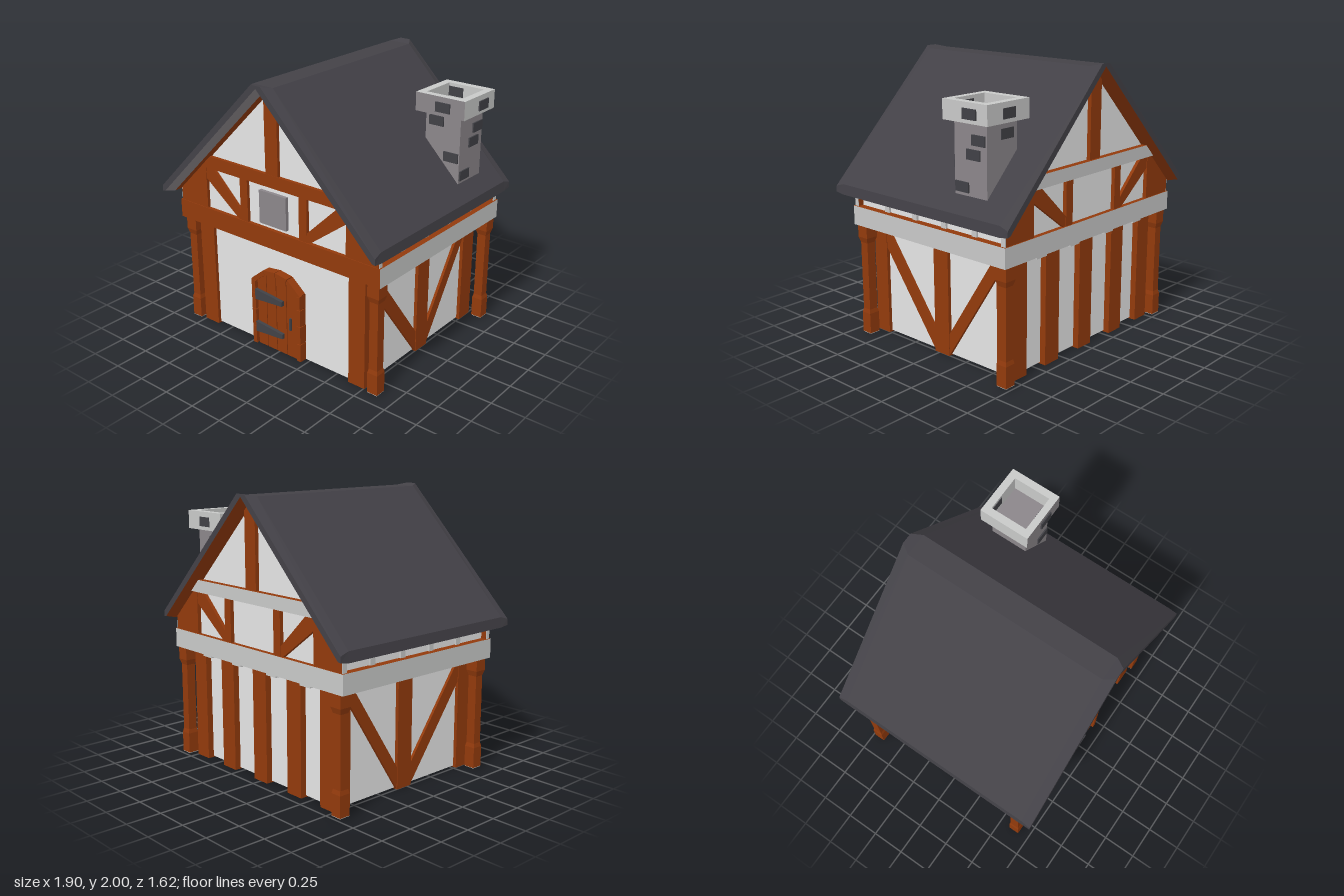
import * as THREE from 'three';

const mat = (name, color) => {
  const m = new THREE.MeshStandardMaterial({ color });
  m.name = name;
  return m;
};

export function createModel() {
  const house = new THREE.Group();
  house.name = 'house';
  const plaster = mat('plaster', 0xe5e5e5);
  const trim = mat('pale trim', 0xc8c9c8);
  const timber = mat('timber', 0x923a0c);
  const shadowWood = mat('dark wood', 0x4a1c08);
  const slate = mat('slate', 0x434147);
  const stone = mat('stone', 0x8b868a);
  const iron = mat('iron', 0x414146);
  const floorGrey = mat('floor grey', 0xb4b4b4);

  const add = (name, geo, m) => {
    const mesh = new THREE.Mesh(geo, m);
    mesh.name = name;
    house.add(mesh);
    return mesh;
  };
  // Box given by its limits
  const box = (name, m, x0, x1, y0, y1, z0, z1) => {
    const g = new THREE.BoxGeometry(x1 - x0, y1 - y0, z1 - z0);
    g.translate((x0 + x1) / 2, (y0 + y1) / 2, (z0 + z1) / 2);
    return add(name, g, m);
  };
  const extrude = (pts, depth) => new THREE.ExtrudeGeometry(
    new THREE.Shape(pts.map(p => new THREE.Vector2(...p))), { depth, bevelEnabled: false });
  // Outline in x, y drawn out along z
  const prism = (name, m, pts, z0, z1) => add(name, extrude(pts, z1 - z0).translate(0, 0, z0), m);
  // Outline in z, y drawn out along x
  const sidePrism = (name, m, pts, x0, x1) => add(name,
    extrude(pts.map(([z, y]) => [-z, y]), x1 - x0).rotateY(Math.PI / 2).translate(x0, 0, 0), m);
  const mirror = (pts, s) => pts.map(([x, y]) => [x * s, y]);

  // Lower walls and the ring beam above them
  box('lowerWalls', [plaster, plaster, plaster, floorGrey, plaster, plaster], -0.73, 0.73, 0.01, 0.83, -0.635, 0.62);
  box('ringBeam', [trim, trim, timber, timber, timber, trim], -0.9, 0.9, 0.822, 0.96, -0.745, 0.688);
  for (const x of [-0.53, -0.19, 0.19, 0.53])
    box('joistEnd', trim, x - 0.05, x + 0.05, 0.803, 0.83, -0.73, -0.63);

  // Wall posts, dark underneath
  const post = (x0, x1, z0, z1) =>
    box('wallPost', [timber, timber, timber, slate, timber, timber], x0, x1, 0, 0.81, z0, z1);
  for (const s of [-1, 1]) {
    const xs = (a, b) => s > 0 ? [a, b] : [-b, -a];
    post(...xs(0.62, 0.755), 0.52, 0.645);
    post(...xs(0.62, 0.755), -0.68, -0.54);
    post(...xs(0.66, 0.755), -0.095, 0.04);
    post(...xs(0.29, 0.43), -0.68, -0.6);
    // Side braces forming a V
    const [a, b] = xs(0.72, 0.75);
    sidePrism('sideBrace', timber, [[0.57, 0.81], [0.52, 0.81], [0.04, 0.16], [0.04, 0.005], [0.52, 0.65]], a, b);
    sidePrism('sideBrace', timber, [[-0.56, 0.81], [-0.52, 0.81], [-0.095, 0.16], [-0.095, 0.005], [-0.54, 0.69]], a, b);
  }
  post(-0.07, 0.07, -0.68, -0.6);

  // Free-standing square columns
  const profile = [[0, 0.01], [0.041, 0.01], [0.041, 0.16], [0.034, 0.19], [0.034, 0.69], [0.046, 0.73], [0.046, 0.825]]
    .map(([r, y]) => new THREE.Vector2(r * Math.SQRT2, y));
  for (const x of [-0.823, 0.837]) for (const z of [0.627, -0.69]) {
    const g = new THREE.LatheGeometry(profile, 4, Math.PI / 4).toNonIndexed();
    g.computeVertexNormals();
    add('column', g.translate(x, 0, z), timber);
    box('columnFoot', trim, x - 0.04, x + 0.04, 0.006, 0.012, z - 0.04, z + 0.04);
  }

  // Upper storey body with studs along the sides
  prism('upperWalls', plaster, [[-0.845, 0.955], [0.845, 0.955], [0.845, 1.105], [0, 1.95], [-0.845, 1.105]], -0.71, 0.66);
  for (const s of [-1, 1]) for (const z of [0.38, 0.105, -0.17, -0.445])
    box('sideStud', trim, s * 0.848 - 0.012, s * 0.848 + 0.012, 0.955, 1.08, z - 0.022, z + 0.022);

  // Gable timbers, front and back
  for (const [z0, z1, tieZ0, tieZ1, tieMat] of [
    [0.65, 0.683, 0.65, 0.685, timber],
    [-0.738, -0.7, -0.755, -0.7, [trim, timber]]]) {
    prism('kingPost', timber, [[-0.055, 1.34], [0.055, 1.34], [0.055, 1.89], [0, 1.945], [-0.055, 1.89]], z0, z1);
    prism('tieBeam', tieMat, [[-0.672, 1.27], [0.672, 1.27], [0.582, 1.36], [-0.582, 1.36]], tieZ0, tieZ1);
    for (const s of [-1, 1]) {
      prism('cornerTimber', timber, mirror([[0.624, 0.955], [0.885, 0.955], [0.885, 1.058], [0.624, 1.319]], s), z0, z1);
      box('cornerCapping', trim, s * 0.887 - 0.003, s * 0.887 + 0.003, 0.958, 1.052, z0 + 0.001, z1 - 0.001);
      prism('gableBrace', timber, mirror([[0.315, 0.955], [0.63, 1.19], [0.63, 1.275], [0.555, 1.275], [0.295, 1.025], [0.295, 0.955]], s), z0 + 0.004, z1 - 0.004);
      box('gableStud', timber, s * 0.265 - 0.034, s * 0.265 + 0.034, 0.955, 1.275, z0, z1);
    }
  }
  box('gableShutter', stone, -0.12, 0.12, 0.99, 1.23, 0.65, 0.685);

  // Roof: one cross-section carried along z, with bevelled ends
  const loop = ([a, b, c, d, e, f]) => {
    const half = [b, c, d, e];
    return [a, ...half.map(([x, y]) => [-x, y]), f, ...half.reverse()];
  };
  const end = loop([[0, 2], [0.04, 2], [0.948, 1.092], [0.95, 1.05], [0.925, 1.055], [0, 1.98]]);
  const mid = loop([[0, 1.985], [0.085, 1.985], [0.943, 1.113], [0.95, 1.04], [0.9, 1.04], [0, 1.94]]);
  const sections = [[end, 0.81], [mid, 0.74], [mid, -0.74], [end, -0.81]];
  const undersides = [[], [], []];
  const slates = [];
  const at = (k, i) => [...sections[k][0][i], sections[k][1]];
  for (let k = 0; k < 3; k++) for (let i = 0; i < 10; i++) {
    const j = (i + 1) % 10;
    const list = i === 4 || i === 5 ? undersides[k] : slates;
    list.push(...at(k, i), ...at(k + 1, i), ...at(k + 1, j), ...at(k, i), ...at(k + 1, j), ...at(k, j));
  }
  for (const [p, q, r] of THREE.ShapeUtils.triangulateShape(end.map(v => new THREE.Vector2(...v)), [])) {
    slates.push(...at(0, p), ...at(0, q), ...at(0, r));
    slates.push(...at(3, r), ...at(3, q), ...at(3, p));
  }
  const soup = (name, list, m) => {
    const g = new THREE.BufferGeometry();
    g.setAttribute('position', new THREE.Float32BufferAttribute(list, 3));
    g.computeVertexNormals();
    add(name, g, m);
  };
  soup('roof', slates, slate);
  soup('frontRoofBevel', undersides[0], stone);
  soup('roofUnderside', undersides[1], timber);
  soup('backRoofBevel', undersides[2], timber);

  // Chimney stack, hollow cap and dark bricks
  box('chimneyStack', stone, 0.568, 0.845, 1.1, 1.69, -0.548, -0.27);
  box('chimneyCap', [trim, trim, trim, trim, stone, trim], 0.512, 0.898, 1.69, 1.822, -0.27, -0.22);
  box('chimneyCap', trim, 0.512, 0.898, 1.69, 1.822, -0.602, -0.548);
  box('chimneyCap', trim, 0.512, 0.568, 1.69, 1.822, -0.548, -0.27);
  box('chimneyCap', trim, 0.845, 0.898, 1.69, 1.822, -0.548, -0.27);
  // Bricks facing along z: x, y, z of the centre and half depth
  for (const [x, y, z, d] of [[0.73, 1.75, -0.22, 0.01], [0.655, 1.635, -0.27, 0.01], [0.78, 1.395, -0.27, 0.01],
    [0.7, 1.75, -0.602, 0.004], [0.66, 1.61, -0.548, 0.004], [0.625, 1.765, -0.548, 0.005], [0.73, 1.765, -0.27, 0.008]])
    box('chimneyBrick', iron, x - 0.057, x + 0.057, y - 0.034, y + 0.034, z - d, z + d);
  // Bricks facing along x
  for (const [x, y, z] of [[0.898, 1.75, -0.455], [0.845, 1.58, -0.48], [0.845, 1.485, -0.437], [0.845, 1.268, -0.337]])
    box('chimneyBrick', iron, x - 0.01, x + 0.01, y - 0.034, y + 0.034, z - 0.057, z + 0.057);

  // Arched door: dark backing, block frame, planks, hinges and handle
  const outer = [[-0.225, 0.01], [-0.225, 0.15], [-0.225, 0.29], [-0.225, 0.42], [-0.225, 0.53], [-0.11, 0.625], [0, 0.64]];
  const inner = [[-0.19, 0.01], [-0.19, 0.15], [-0.19, 0.29], [-0.19, 0.42], [-0.19, 0.515], [-0.097, 0.59], [0, 0.605]];
  const whole = pts => [...pts, ...mirror(pts, -1).reverse().slice(1)];
  prism('doorBacking', shadowWood, whole(outer.map(([x, y]) => [x * 0.98, y - 0.004])), 0.61, 0.645);
  for (const s of [-1, 1]) for (let i = 0; i < 6; i++) {
    const q = [outer[i], outer[i + 1], inner[i + 1], inner[i]];
    const cx = q.reduce((t, p) => t + p[0], 0) / 4, cy = q.reduce((t, p) => t + p[1], 0) / 4;
    prism('doorFrameBlock', timber, mirror(q.map(([x, y]) => [cx + (x - cx) * 0.96, cy + (y - cy) * 0.96]), s), 0.61, 0.68);
  }
  const archY = x => Math.abs(x) > 0.097 ? 0.59 - (Math.abs(x) - 0.097) * 0.8 : 0.605 - Math.abs(x) * 0.155;
  const seams = [-0.187, -0.1, -0.01, 0.085, 0.187];
  for (let i = 0; i < 4; i++) {
    const a = seams[i] + 0.003, b = seams[i + 1] - 0.003;
    prism('doorPlank', timber, [[a, 0.01], [b, 0.01], [b, archY(b)], [a, archY(a)]], 0.61, 0.66);
  }
  for (const y of [0.155, 0.415])
    prism('doorHinge', iron, [[-0.19, y - 0.04], [0.06, y - 0.018], [0.06, y + 0.018], [-0.19, y + 0.04]], 0.655, 0.684);
  box('doorHandle', iron, 0.119, 0.131, 0.225, 0.32, 0.655, 0.675);

  return house;
}
